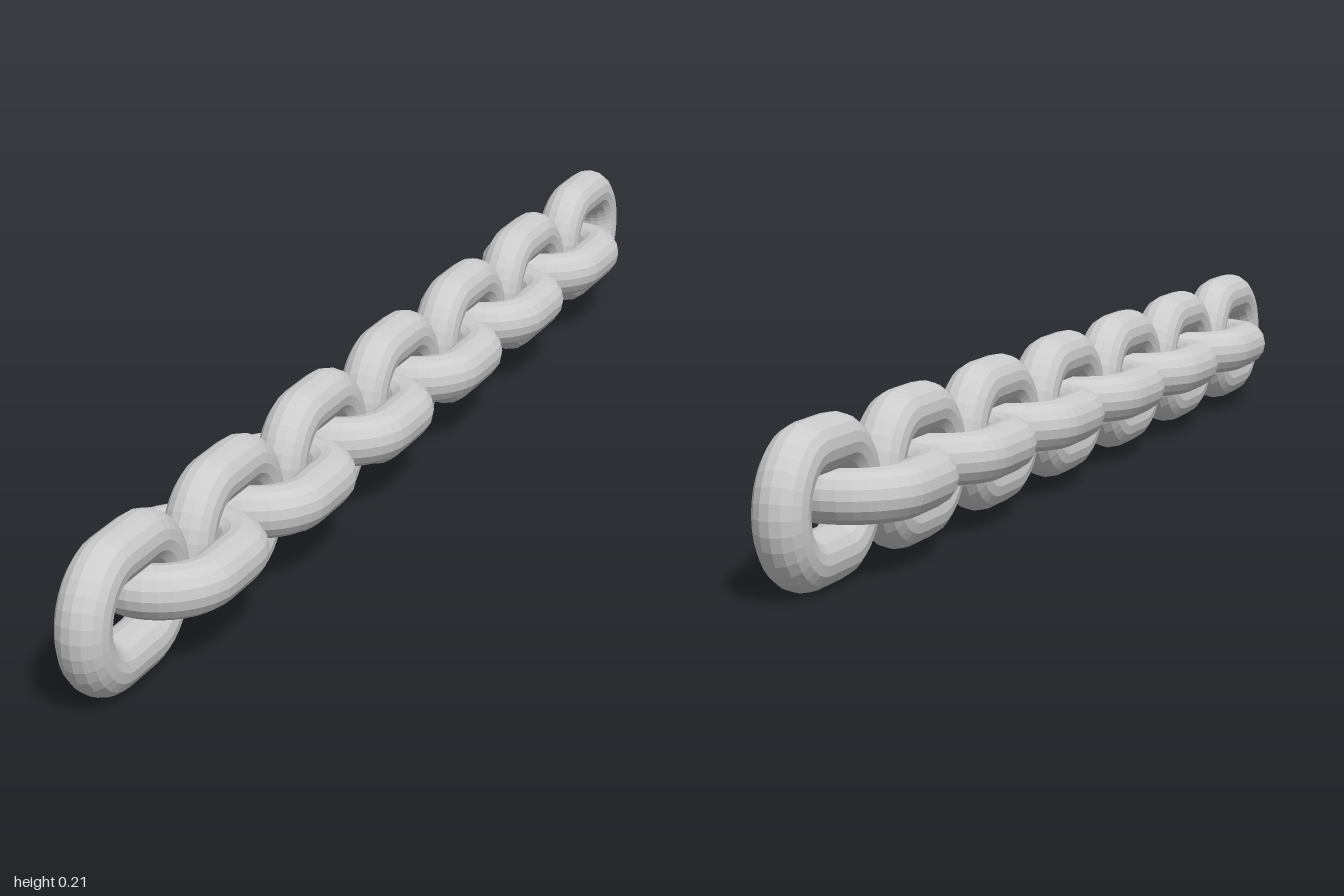
import * as THREE from 'three';
import { mergeGeometries } from 'three/addons/utils/BufferGeometryUtils.js';

const LINKS = 13;
const WIRE = 0.0355;     // wire radius
const BEND = 0.0695;     // centreline radius of the rounded ends
const HALF = 0.0357;     // half length of the straight sides
const SIDES = 16;
const LENGTH = 2 * (HALF + BEND + WIRE);
const PITCH = (2 - LENGTH) / (LINKS - 1);

// One oblong link lying flat, long axis along z
function linkGeometry() {
  const parts = [];
  for (const s of [1, -1]) {
    // rounded end
    const end = new THREE.TorusGeometry(BEND, WIRE, SIDES, 16, Math.PI);
    end.translate(0, HALF, 0);
    if (s < 0) end.rotateZ(Math.PI);
    // straight side
    const bar = new THREE.CylinderGeometry(WIRE, WIRE, 2 * HALF, SIDES, 1, true);
    bar.translate(s * BEND, 0, 0);
    parts.push(end, bar);
  }
  return mergeGeometries(parts).rotateX(Math.PI / 2);
}

export function createModel() {
  const chain = new THREE.Group();
  chain.name = 'chain';
  const material = new THREE.MeshStandardMaterial({ color: 0xcccccc, flatShading: true });
  const geometry = linkGeometry();

  // Links alternate upright and flat along z
  for (let i = 0; i < LINKS; i++) {
    const upright = i % 2 === 0;
    const link = new THREE.Mesh(geometry, material);
    link.name = (upright ? 'uprightLink' : 'flatLink') + (i + 1);
    link.position.set(0, BEND + WIRE, (i - (LINKS - 1) / 2) * PITCH);
    if (upright) link.rotation.z = Math.PI / 2;
    chain.add(link);
  }
  return chain;
}
